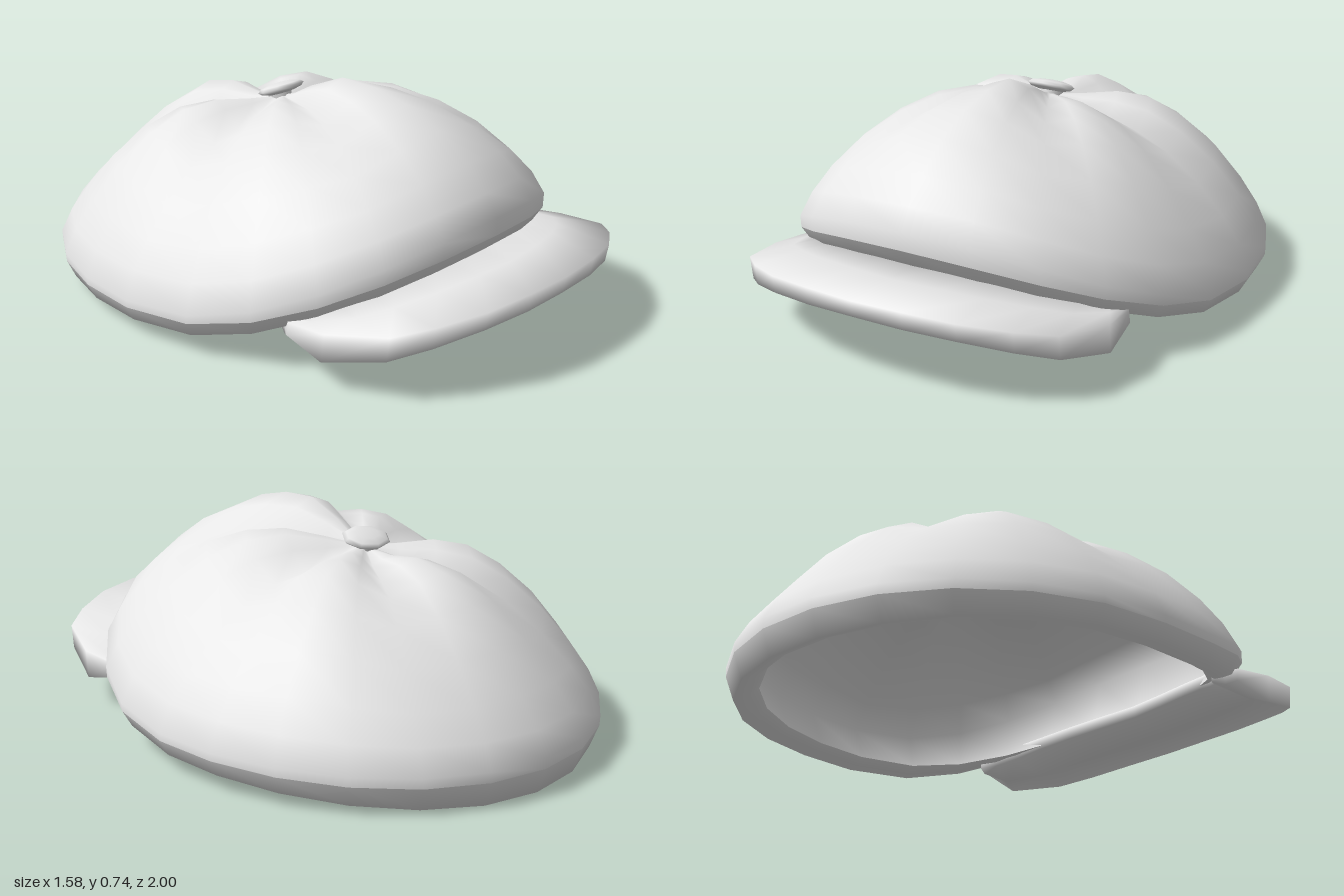
import * as THREE from 'three';
import { toCreasedNormals } from 'three/addons/utils/BufferGeometryUtils.js';

const SEG = 24;
const HUB_Z = -0.18;

// Joins rows of points into a smooth surface; every row is a closed loop.
function skin(rows) {
  const n = rows[0].length, index = [];
  for (let i = 0; i < rows.length - 1; i++) {
    for (let j = 0; j < n; j++) {
      const k = (j + 1) % n;
      const a = i * n + j, b = a + n, c = (i + 1) * n + k, d = i * n + k;
      index.push(a, b, c, a, c, d);
    }
  }
  const geo = new THREE.BufferGeometry();
  geo.setAttribute('position', new THREE.Float32BufferAttribute(rows.flat(2), 3));
  geo.setIndex(index);
  return toCreasedNormals(geo, Math.PI);
}

// Widest outline of the crown, squarer at the front than at the back.
function rim(t) {
  const s = Math.sin(t), c = Math.cos(t), e = c > 0 ? 0.9 : 1;
  return [0.79 * Math.sign(s) * Math.abs(s) ** e,
    -0.12 + (c > 0 ? 0.86 : 0.88) * Math.sign(c) * Math.abs(c) ** e];
}

// Blends a side value into a front or back value around the cap.
function blend(t, front, side, back) {
  const c = Math.cos(t);
  return side + ((c > 0 ? front : back) - side) * Math.abs(c) ** 1.9;
}

// Crown profile: radius, front, side and back heights, depth of the six seams.
const PROFILE = [
  [0, 0.63, 0.63, 0.63, 0],
  [0.06, 0.645, 0.628, 0.62, 0.01],
  [0.15, 0.69, 0.63, 0.615, 0.035],
  [0.3, 0.745, 0.635, 0.63, 0.065],
  [0.45, 0.74, 0.612, 0.605, 0.065],
  [0.6, 0.71, 0.545, 0.525, 0.05],
  [0.75, 0.65, 0.445, 0.41, 0.035],
  [0.87, 0.57, 0.33, 0.29, 0.015],
  [0.95, 0.49, 0.23, 0.2, 0],
  [1, 0.42, 0.14, 0.125, 0],
  [0.998, 0.36, 0.115, 0.09, 0],
];
// Turned-under band: radius, front, side and back heights.
const BAND = [
  PROFILE[10],
  [0.962, 0.31, 0.062, 0.005, 0],
  [0.9, 0.265, 0.065, 0.03, 0],
  [0.865, 0.265, 0.09, 0.06, 0],
];

function ring([r, front, side, back, seam], scale = 1, drop = 0) {
  return Array.from({ length: SEG }, (_, j) => {
    const t = j / SEG * Math.PI * 2;
    const [x, z] = rim(t);
    const k = r * scale;
    const y = blend(t, front, side, back) - seam * (1 - Math.abs(Math.cos(3 * t))) - drop;
    return [x * k, y, HUB_Z + (z - HUB_Z) * k];
  });
}

// Visor stations: outer x, z, top, bottom; inner x, z, top, bottom.
const VISOR = [
  [0, 1, 0.3, 0.245, 0, 0.6, 0.285, 0.24],
  [0.17, 0.99, 0.3, 0.24, 0.14, 0.59, 0.285, 0.24],
  [0.33, 0.95, 0.285, 0.225, 0.29, 0.55, 0.27, 0.225],
  [0.47, 0.87, 0.26, 0.19, 0.4, 0.5, 0.245, 0.2],
  [0.57, 0.78, 0.235, 0.155, 0.48, 0.45, 0.22, 0.17],
  [0.63, 0.58, 0.2, 0.105, 0.54, 0.4, 0.19, 0.145],
  [0.62, 0.43, 0.185, 0.14, 0.57, 0.35, 0.17, 0.13],
];

function visorGeometry() {
  const station = ([ox, oz, ot, ob, ix, iz, it, ib], m) => {
    const mx = (ox + ix) / 2 * m, mz = (oz + iz) / 2;
    return [[ox * m, ob, oz - 0.01], [ox * m, ot, oz], [mx, (ot + it) / 2, mz],
      [ix * m, it, iz], [ix * m, ib, iz], [mx, (ob + ib) / 2 - 0.01, mz]];
  };
  const rows = [...VISOR.slice(1).reverse().map(s => station(s, -1)),
    ...VISOR.map(s => station(s, 1))];
  // Collapsed end rows close the tips.
  const cap = row => {
    const mid = [0, 1, 2].map(a => row.reduce((sum, p) => sum + p[a], 0) / row.length);
    return row.map(() => mid);
  };
  return skin([cap(rows[0]), ...rows, cap(rows[rows.length - 1])]);
}

export function createModel() {
  const cap = new THREE.Group();
  cap.name = 'flatCap';
  const cloth = new THREE.MeshStandardMaterial({ color: 0xe7e7e7 });
  cloth.name = 'pale grey cloth';
  const add = (name, geo) => {
    const mesh = new THREE.Mesh(geo, cloth);
    mesh.name = name;
    cap.add(mesh);
    return mesh;
  };

  // Six-panel crown, the band folded under it, and the inside
  add('crown', skin(PROFILE.map(p => ring(p))));
  add('band', skin(BAND.map(p => ring(p))));
  const inside = PROFILE.slice(0, 9).reverse().map(p => ring(p, 0.975, 0.02));
  add('lining', skin([ring(BAND[3]), ...inside]));

  add('visor', visorGeometry());

  // Covered button on a short stem
  const button = add('button', new THREE.SphereGeometry(1, 8, 6));
  button.scale.set(0.092, 0.02, 0.07);
  button.position.set(0, 0.652, -0.187);
  button.rotation.x = -0.35;
  const stem = add('buttonStem', new THREE.CylinderGeometry(0.045, 0.035, 0.05, 8));
  stem.position.set(0, 0.625, -0.19);
  stem.rotation.x = -0.35;

  return cap;
}
